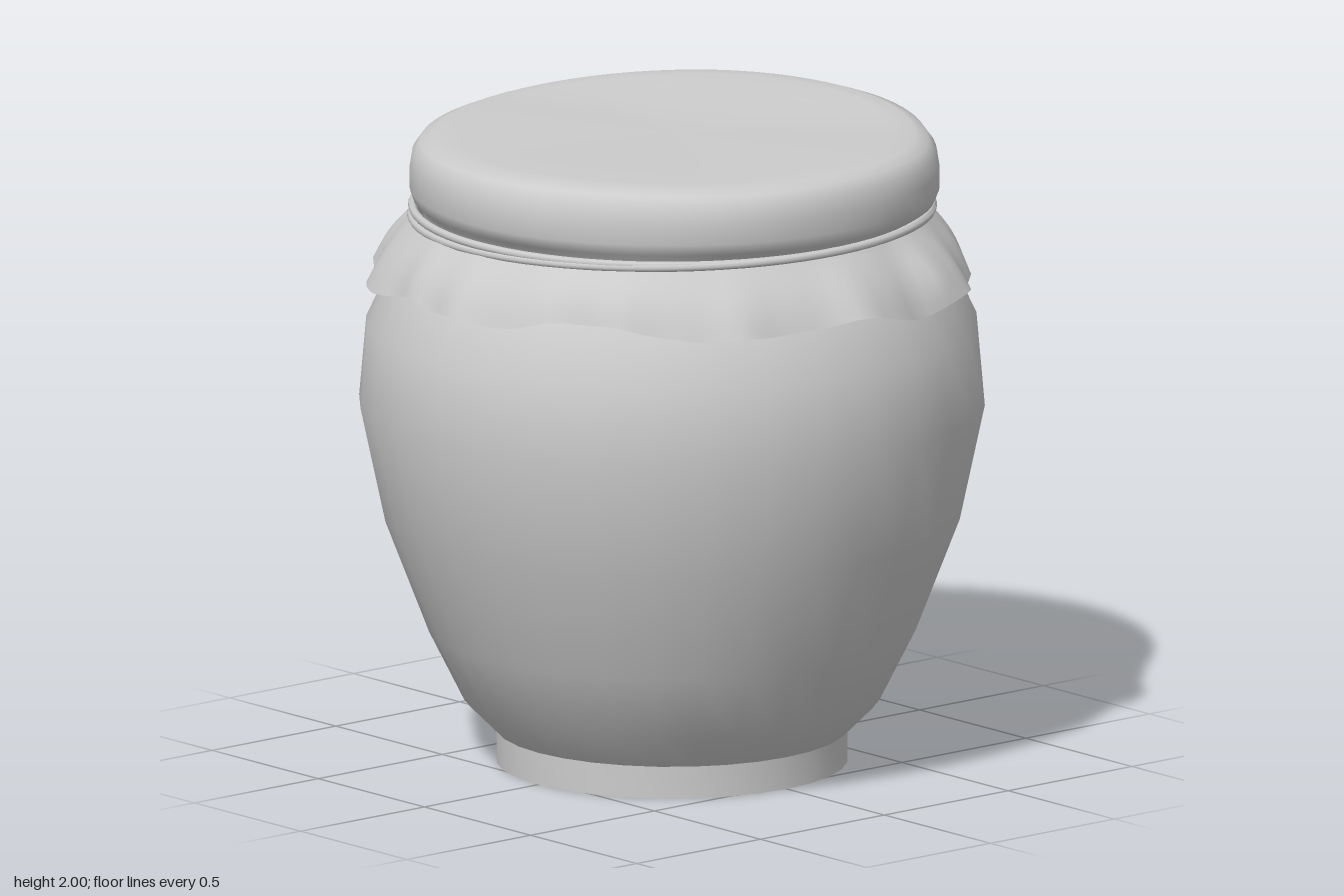
import * as THREE from 'three';
import { mergeVertices, toCreasedNormals } from 'three/addons/utils/BufferGeometryUtils.js';

const material = new THREE.MeshStandardMaterial({ color: 0xcccccc });
const clothMaterial = new THREE.MeshStandardMaterial({ color: 0xcccccc, side: THREE.DoubleSide });

const lathe = (profile, sides) =>
  new THREE.LatheGeometry(profile.map(([r, y]) => new THREE.Vector2(r, y)), sides);

// Move every vertex by a rule, then weld the seam and smooth.
function deform(geometry, rule) {
  const p = geometry.attributes.position;
  const v = new THREE.Vector3();
  for (let i = 0; i < p.count; i++) {
    rule(v.fromBufferAttribute(p, i));
    p.setXYZ(i, v.x, v.y, v.z);
  }
  geometry.deleteAttribute('uv');
  geometry.deleteAttribute('normal');
  const welded = mergeVertices(geometry, 1e-4);
  welded.computeVertexNormals();
  return welded;
}

// Smooth periodic lookup around the rim; angle 0 is the front, rising towards +x.
function around(values, angle) {
  const n = values.length;
  const f = ((angle / (2 * Math.PI)) % 1 + 1) % 1 * n;
  const i = Math.floor(f), t = f - i;
  const at = k => values[(i + k + n) % n];
  const [a, b, c, d] = [at(-1), at(0), at(1), at(2)];
  return b + 0.5 * t * (c - a + t * (2 * a - 5 * b + 4 * c - d + t * (3 * (b - c) + d - a)));
}

// Hem of the cloth, every 15 degrees.
const hemHeight = [1.535, 1.53, 1.57, 1.54, 1.52, 1.535, 1.55, 1.51, 1.54, 1.52, 1.55, 1.53,
  1.53, 1.545, 1.52, 1.525, 1.55, 1.53, 1.53, 1.535, 1.56, 1.54, 1.51, 1.545];
const hemRadius = [0.92, 0.91, 0.90, 0.90, 0.92, 0.91, 0.94, 0.93, 0.96, 0.91, 0.91, 0.93,
  0.94, 0.92, 0.91, 0.92, 0.91, 0.93, 0.94, 0.92, 0.91, 0.92, 0.94, 0.91];

export function createModel() {
  const group = new THREE.Group();
  const add = (name, geometry, mat = material) => {
    const mesh = new THREE.Mesh(geometry, mat);
    mesh.name = name;
    group.add(mesh);
    return mesh;
  };

  // Pot with a crisp foot
  const body = lathe([[0, 0], [0.54, 0], [0.54, 0.1], [0.64, 0.2], [0.75, 0.42], [0.885, 0.77],
    [0.962, 1.13], [0.94, 1.38], [0.85, 1.57], [0.76, 1.68], [0.74, 1.74]], 32);
  add('jarBody', toCreasedNormals(body, 0.7));

  // Cloth stretched over the lid, puffed up towards the back left
  const cover = lathe([[0.77, 1.72], [0.775, 1.745], [0.80, 1.765], [0.813, 1.80], [0.813, 1.86],
    [0.805, 1.91], [0.78, 1.945], [0.74, 1.96], [0.68, 1.964], [0.55, 1.965], [0.35, 1.965],
    [0.15, 1.965], [0, 1.965]], 72);
  add('clothTop', deform(cover, v => {
    const r = Math.hypot(v.x, v.z), a = Math.atan2(v.x, v.z);
    const top = THREE.MathUtils.smoothstep(v.y, 1.78, 1.95);
    const lift = THREE.MathUtils.smoothstep((-0.5 * v.x - 0.85 * v.z), 0.2, 0.75);
    const ripple = 0.006 * Math.sin(3 * a + 0.6) + 0.004 * Math.sin(7 * a);
    const s = 1 + ripple * (r / 0.8) * THREE.MathUtils.smoothstep(v.y, 1.73, 1.8);
    v.y += top * (0.032 * lift + 0.004 * Math.sin(4 * a) * r);
    v.x = v.x * s - 0.012;
    v.z = v.z * s - 0.018;
  }), clothMaterial);

  // Flared skirt of cloth below the string; y carries the position from hem (0) to neck (1)
  const rows = 10;
  const skirt = lathe(Array.from({ length: rows + 1 }, (_, i) => [1, i / rows]), 120);
  add('clothSkirt', deform(skirt, v => {
    const a = Math.atan2(v.x, v.z), t = v.y, out = 1 - t;
    const wrinkle = 0.007 * Math.sin(17 * a + 2 * Math.sin(2 * a)) + 0.004 * Math.sin(29 * a + 1);
    const bulge = 0.022 * Math.sin(Math.PI * t);
    const fold = 0.025 * Math.exp(-Math.pow((a - 1.95) / 0.07, 2)) * Math.sin(Math.PI * t);
    const r = 0.785 + (around(hemRadius, a) - 0.785) * Math.pow(out, 1.15) + bulge + wrinkle * out + fold;
    v.set(Math.sin(a) * r, 1.735 * t + (around(hemHeight, a) + wrinkle * 0.7) * out, Math.cos(a) * r);
  }), clothMaterial);

  // Two turns of string, slightly tilted against each other
  [[0.797, 1.748, 0.012, -0.008], [0.80, 1.728, 0.012, 0.016]].forEach(([r, y, tiltX, tiltZ], i) => {
    const string = add('string' + (i + 1), new THREE.TorusGeometry(r, 0.013, 8, 72).rotateX(Math.PI / 2));
    string.position.set(-0.004, y, -0.004);
    string.rotation.set(tiltX, 0, tiltZ);
  });

  return group;
}
